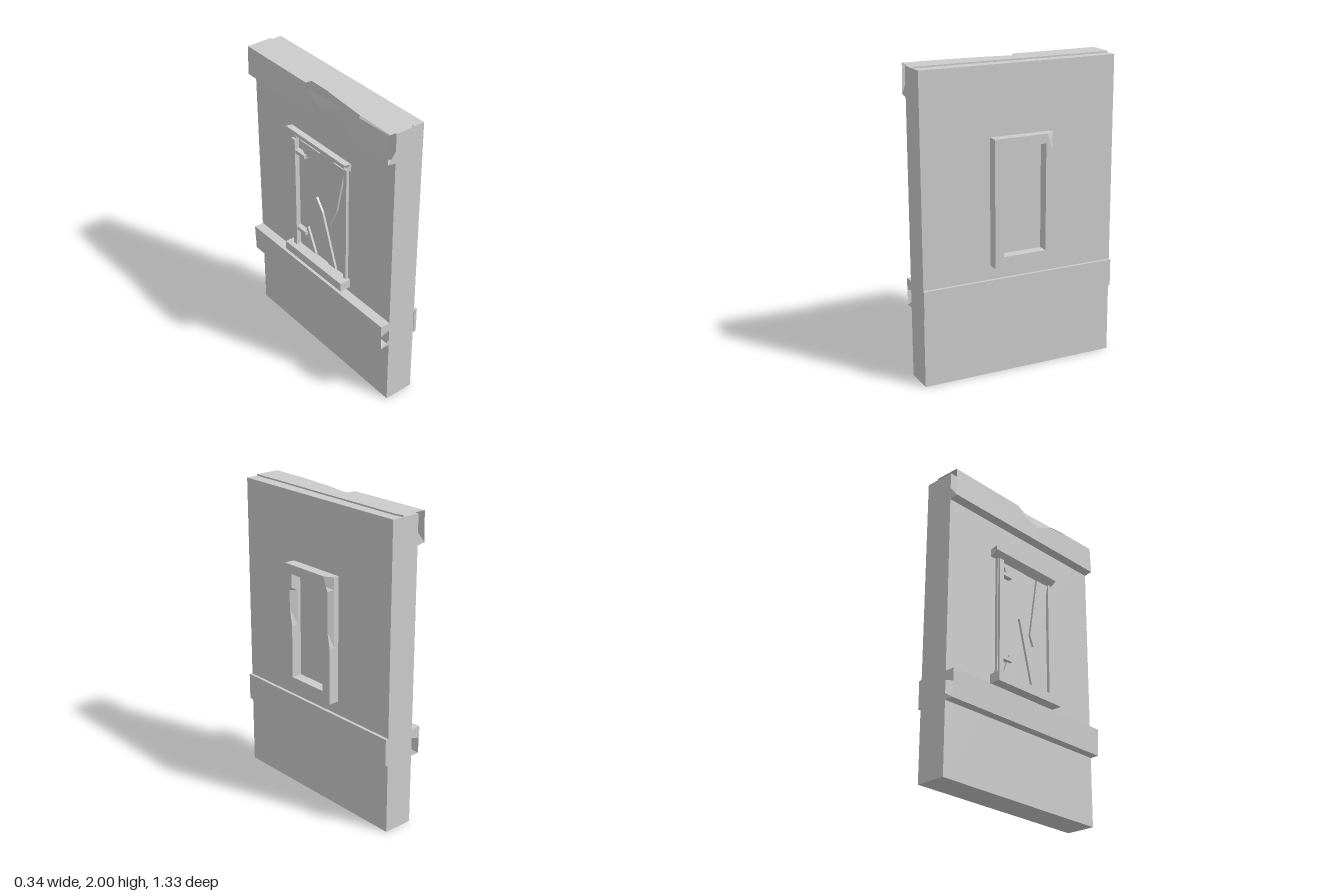
import * as THREE from 'three';

const solid = new THREE.MeshStandardMaterial({ color: 0xcccccc, flatShading: true });
const sheet = new THREE.MeshStandardMaterial({ color: 0xcccccc, flatShading: true, side: THREE.DoubleSide });

export function createModel() {
  const model = new THREE.Group();

  const add = (name, geometry, material = solid) => {
    const mesh = new THREE.Mesh(geometry, material);
    mesh.name = name;
    model.add(mesh);
    return mesh;
  };

  // Box given by its limits on each axis
  const block = (name, [x0, x1], [y0, y1], [z0, z1]) => {
    const g = new THREE.BoxGeometry(x1 - x0, y1 - y0, z1 - z0);
    g.translate((x0 + x1) / 2, (y0 + y1) / 2, (z0 + z1) / 2);
    return add(name, g);
  };

  // Outline in (z, y), extruded along x
  const plate = (name, points, [x0, x1], holes = []) => {
    const toVec = ([z, y]) => new THREE.Vector2(-z, y);
    const shape = new THREE.Shape(points.map(toVec));
    for (const h of holes) shape.holes.push(new THREE.Path(h.map(toVec)));
    const g = new THREE.ExtrudeGeometry(shape, { depth: x1 - x0, bevelEnabled: false });
    g.rotateY(Math.PI / 2).translate(x0, 0, 0);
    return add(name, g);
  };

  // Flat outline in (x, y) standing at a given z
  const endPiece = (name, points, z) => {
    const g = new THREE.ShapeGeometry(new THREE.Shape(points.map(p => new THREE.Vector2(...p))));
    return add(name, g.translate(0, 0, z), sheet);
  };

  // Skin between rows of [x, y, z] points
  const loft = (name, rows) => {
    const pos = [];
    for (let i = 0; i + 1 < rows.length; i++)
      for (let j = 0; j + 1 < rows[i].length; j++) {
        const a = rows[i][j], b = rows[i][j + 1], c = rows[i + 1][j + 1], d = rows[i + 1][j];
        pos.push(...a, ...b, ...c, ...a, ...c, ...d);
      }
    const g = new THREE.BufferGeometry();
    g.setAttribute('position', new THREE.Float32BufferAttribute(pos, 3));
    g.computeVertexNormals();
    return add(name, g, sheet);
  };

  const rect = (z0, z1, y0, y1) => [[z0, y0], [z1, y0], [z1, y1], [z0, y1]];

  // Wall slab with a shallow window recess on the +x face
  const wallOutline = rect(-0.66, 0.66, 0, 1.99);
  block('wallBack', [-0.1, 0.06], [0, 1.99], [-0.66, 0.66]);
  plate('wallFace', wallOutline, [0.06, 0.1], [rect(-0.145, 0.145, 0.8, 1.49)]);

  // Window surround on the +x face, chipped on its outer corner and inner edge
  const outerBack = [[0.205, 0.73], [-0.21, 0.73], [-0.21, 1.1], [-0.21, 1.2], [-0.21, 1.47], [-0.21, 1.55],
    [-0.165, 1.55], [0.205, 1.55], [0.205, 1.4], [0.205, 1.38], [0.205, 1.26], [0.205, 1.15]];
  const outerFront = outerBack.map(p => [...p]);
  outerFront[3] = [-0.19, 1.2];
  outerFront[4] = [-0.19, 1.46];
  outerFront[5] = [-0.175, 1.49];
  outerFront[6] = [-0.155, 1.55];
  const innerBack = outerBack.map(([z, y]) =>
    [THREE.MathUtils.clamp(z, -0.145, 0.145), THREE.MathUtils.clamp(y, 0.8, 1.49)]);
  const innerFront = innerBack.map(p => [...p]);
  innerFront[9] = [0.165, 1.38];
  innerFront[10] = [0.165, 1.26];
  const ring = (pts, x) => [...pts, pts[0]].map(([z, y]) => [x, y, z]);
  loft('windowSurround', [ring(outerBack, 0.1), ring(outerBack, 0.135), ring(outerFront, 0.17),
    ring(innerFront, 0.17), ring(innerBack, 0.125), ring(innerBack, 0.1)]);

  // Low band on the +x face
  block('innerBand', [0.1, 0.12], [0.46, 0.64], [-0.66, 0.665]);

  // Hollow ledge on the -x face with broken ends
  const ledgeProfile = [[-0.1, 0.64], [-0.165, 0.64], [-0.16, 0.46], [-0.1, 0.46]];
  loft('outerLedge', [-0.66, 0.66].map(z => ledgeProfile.map(([x, y]) => [x, y, z])));
  for (const z of [-0.66, 0.66]) {
    endPiece('ledgeEndUpper', [[-0.165, 0.64], [-0.165, 0.56], [-0.1, 0.58], [-0.1, 0.64]], z);
    endPiece('ledgeEndLower', [[-0.16, 0.46], [-0.1, 0.46], [-0.1, 0.5]], z);
  }

  // Torn cornice skin: [z, inner top edge x, outer top edge x, face top x, face top y]
  const cornice = [
    [-0.66, 0.02, -0.15, -0.15, 1.995], [-0.6, 0.03, -0.15, -0.15, 1.995],
    [-0.4, 0.028, -0.15, -0.15, 1.995], [-0.08, 0.026, -0.15, -0.15, 1.995],
    [-0.07, 0.026, -0.09, -0.15, 1.99], [0.03, 0.025, -0.1, -0.152, 1.94],
    [0.1, 0.025, -0.115, -0.152, 1.96], [0.4, 0.02, -0.14, -0.15, 1.99], [0.66, 0.02, -0.145, -0.148, 1.995],
  ];
  loft('corniceTop', cornice.map(([z, xi, xo]) => [[xi, 1.99, z], [xi, 2, z], [xo, 2, z]]));
  loft('corniceFace', cornice.map(([z, , , xf, yf]) => [[xf, yf, z], [-0.155, 1.81, z], [-0.1, 1.8, z]]));
  loft('corniceEdge', cornice.slice(0, 4).map(([z, , xo, xf, yf]) => [[xo, 2, z], [xf, yf, z]]));
  loft('corniceEdge', cornice.slice(7).map(([z, , xo, xf, yf]) => [[xo, 2, z], [xf, yf, z]]));
  loft('corniceFlap', [[[-0.15, 1.97, -0.07], [-0.15, 1.98, 0.25]], [[-0.165, 1.9, 0.08], [-0.165, 1.9, 0.08]]]);
  for (const z of [-0.66, 0.66])
    endPiece('corniceEnd', [[-0.155, 1.81], [-0.1, 1.8], [-0.1, 1.88]], z);

  // Window sill and broken header on the -x face
  block('windowSill', [-0.175, -0.1], [0.68, 0.74], [-0.29, 0.28]);
  const headerProfile = [[-0.1, 1.6], [-0.15, 1.61], [-0.15, 1.585], [-0.1, 1.55]];
  loft('windowHeader', [-0.29, 0.28].map(z => headerProfile.map(([x, y]) => [x, y, z])));
  for (const z of [-0.29, 0.28])
    endPiece('headerEnd', [[-0.15, 1.585], [-0.1, 1.55], [-0.1, 1.6]], z);

  // Jambs and the standing shutter strip
  for (const z of [-0.25, 0.235])
    block('windowJamb', [-0.12, -0.1], [0.74, 1.55], [z, z + 0.025]);
  block('shutterStrip', [-0.14, -0.125], [0.74, 1.54], [-0.25, -0.215]);
  for (const y of [0.86, 1.44])
    block('shutterHinge', [-0.135, -0.1], [y, y + 0.025], [-0.225, -0.13]);

  // Splintered remains of the window panel
  const splinters = [
    [[0.235, 1.54], [0.13, 1.54], [0.06, 1.12], [0.09, 1.05], [0.16, 1.2]],
    [[0.08, 0.75], [0.15, 0.75], [0.02, 1.12], [-0.04, 1.2]],
    [[-0.2, 0.75], [-0.05, 0.75], [-0.13, 0.92]],
    [[-0.2, 1.54], [0.0, 1.54], [-0.14, 1.44]],
  ];
  for (const s of splinters) plate('panelSplinter', s, [-0.115, -0.1]);

  return model;
}
